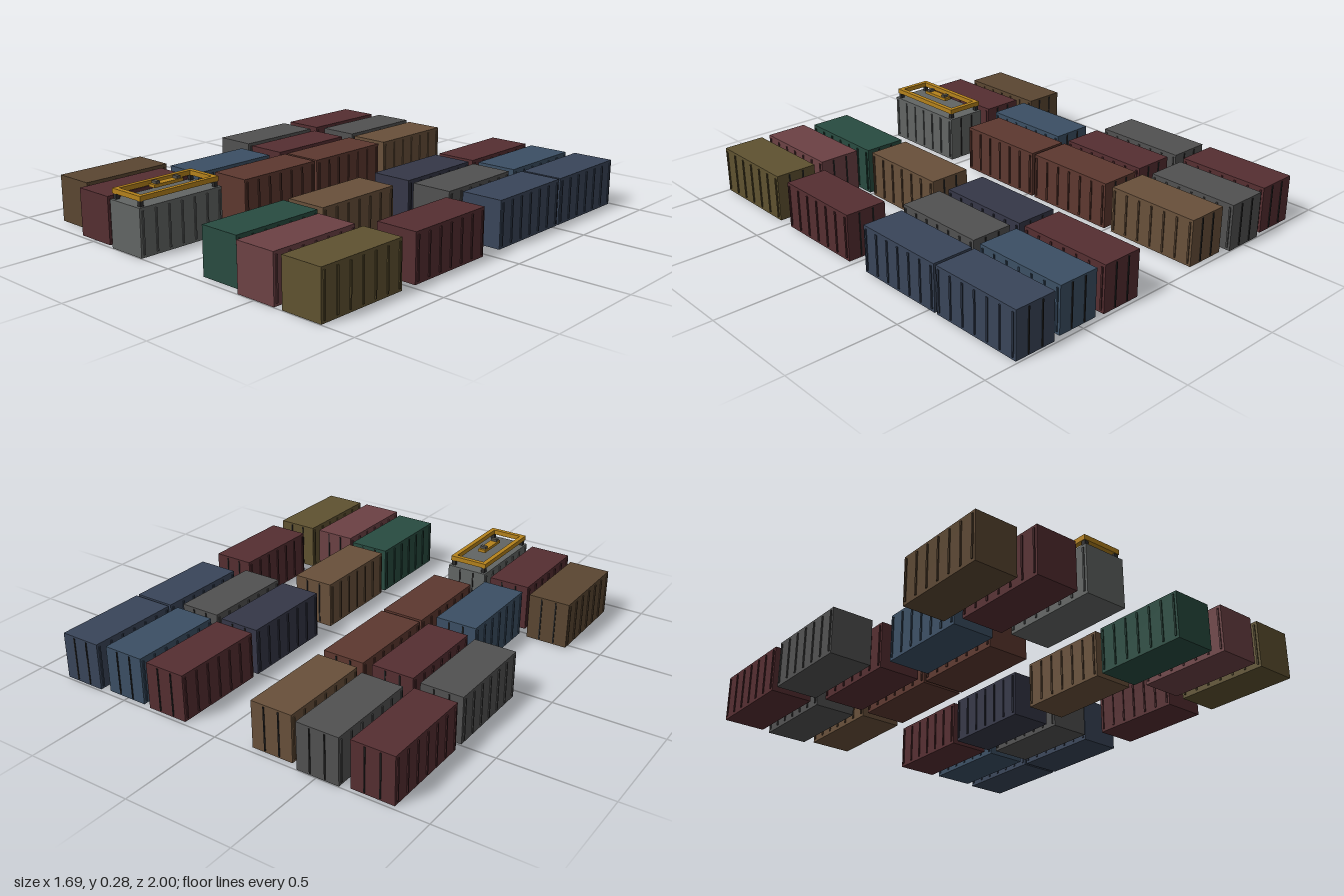
import * as THREE from 'three';

const W = 0.196, L = 0.444, H = 0.216;

const COLORS = {
  red: 0x552e31, rose: 0x6c4144, rust: 0x5d382f, brown: 0x5a4631, tan: 0x68503a,
  grey: 0x515151, pale: 0x626564, navy: 0x394559, steel: 0x3b4f64, indigo: 0x353747,
  green: 0x284b40, olive: 0x5f5230,
};

// Each row: column x, then [z centre, colour] for every container in it
const COLUMNS = [
  [-0.743, [-0.76, 'red'], [-0.27, 'grey'], [0.695, 'brown']],
  [-0.505, [-0.775, 'grey'], [-0.255, 'red'], [0.26, 'steel'], [0.76, 'red']],
  [-0.27, [-0.75, 'tan'], [-0.265, 'rust'], [0.195, 'rust'], [0.775, 'pale']],
  [0.27, [-0.76, 'red'], [-0.285, 'indigo'], [0.265, 'tan'], [0.74, 'green']],
  [0.505, [-0.753, 'steel'], [-0.27, 'grey'], [0.775, 'rose']],
  [0.743, [-0.767, 'navy'], [-0.31, 'navy'], [0.25, 'red'], [0.775, 'olive']],
];

const material = (color) => new THREE.MeshStandardMaterial({ color });

function box(parent, name, size, pos, mat) {
  const mesh = new THREE.Mesh(new THREE.BoxGeometry(...size), mat);
  mesh.name = name;
  mesh.position.set(...pos);
  parent.add(mesh);
  return mesh;
}

// Box container with side ribs and locking bars on the rear doors
function container(mat, ribMat, barMat) {
  const g = new THREE.Group();
  g.name = 'container';
  box(g, 'body', [W, H, L], [0, H / 2, 0], mat);
  for (const s of [-1, 1]) {
    for (let i = -3; i <= 3; i++) {
      box(g, 'sideRib', [0.006, 0.19, 0.008], [s * (W / 2 + 0.002), H / 2, i * 0.069], ribMat);
    }
    box(g, 'doorBar', [0.006, 0.2, 0.005], [s * 0.035, H / 2, -L / 2 - 0.001], barMat);
  }
  return g;
}

// Lifting frame standing on four corner legs
function liftingFrame() {
  const g = new THREE.Group();
  g.name = 'liftingFrame';
  const yellow = material(0xb5821c), dark = material(0x2c2c2c), steel = material(0x55524a);
  const fw = 0.186, fl = 0.424, t = 0.022;
  for (const s of [-1, 1]) {
    box(g, 'longBeam', [t, t, fl], [s * (fw - t) / 2, 0.036, 0], yellow);
    box(g, 'crossBeam', [fw - 2 * t, t, t], [0, 0.036, s * (fl - t) / 2], yellow);
    for (const e of [-1, 1]) {
      box(g, 'cornerLeg', [0.018, 0.026, 0.018], [s * 0.08, 0.012, e * 0.2], dark);
    }
    box(g, 'liftingLug', [0.03, 0.014, 0.02], [0, 0.058, s * 0.056], steel);
  }
  box(g, 'centreBeam', [0.038, 0.014, 0.156], [0, 0.046, 0], yellow);
  return g;
}

export function createModel() {
  const model = new THREE.Group();
  model.name = 'containerYard';
  const barMat = material(0x242424);
  const mats = {};
  for (const key in COLORS) {
    const rib = material(COLORS[key]);
    rib.color.multiplyScalar(0.75);
    mats[key] = [material(COLORS[key]), rib];
  }

  for (const [x, ...stack] of COLUMNS) {
    for (const [z, key] of stack) {
      const c = container(...mats[key], barMat);
      c.position.set(x, 0, z);
      model.add(c);
    }
  }

  const frame = liftingFrame();
  frame.position.set(-0.271, H, 0.775);
  model.add(frame);
  return model;
}
